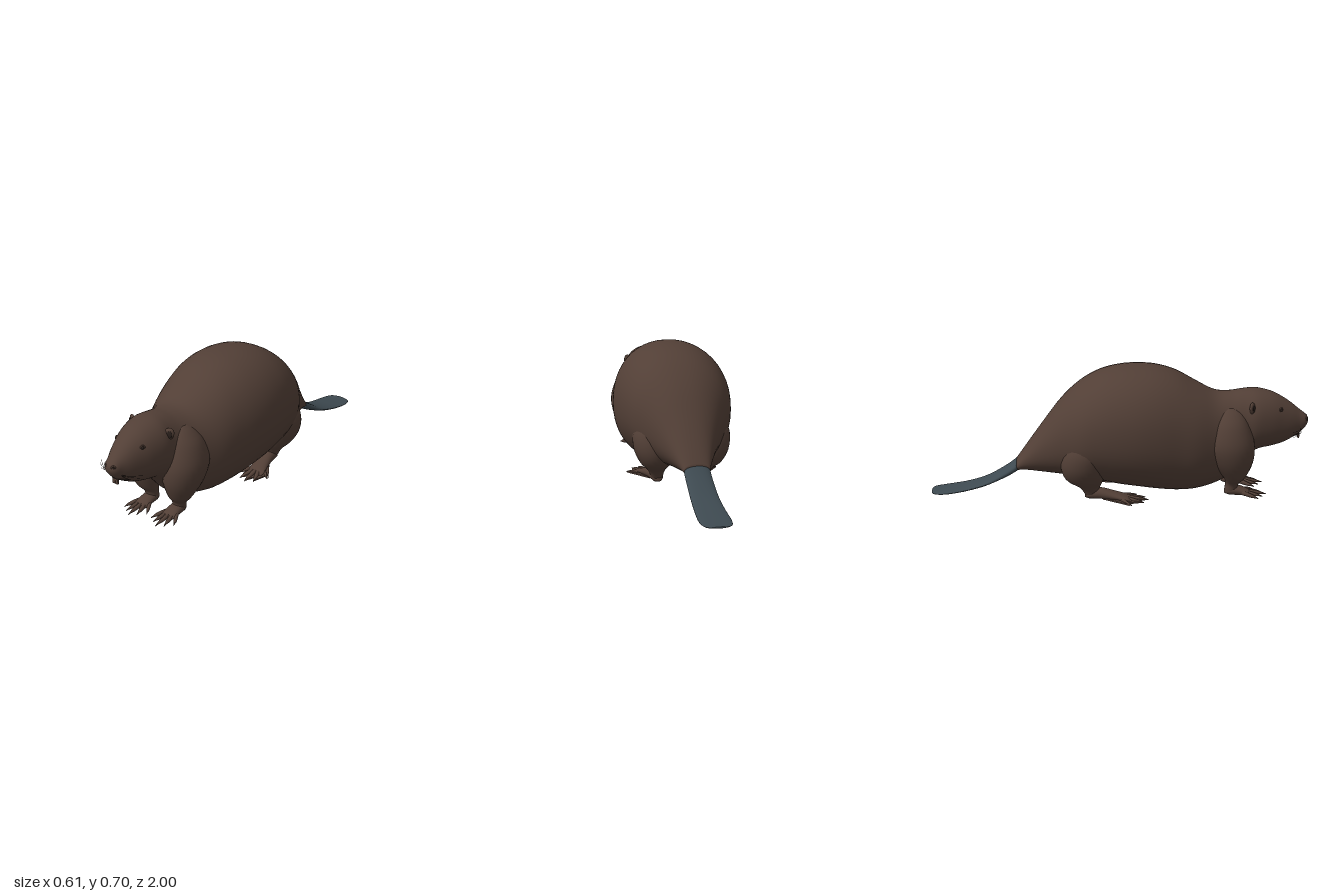
import * as THREE from 'three';

const mat = (name, color, side = THREE.FrontSide) => {
  const m = new THREE.MeshStandardMaterial({ color, side });
  m.name = name;
  return m;
};

// Smooth interpolation of cross-section rows, each an array of numbers
function resample(rows, steps) {
  const out = [];
  const at = i => rows[Math.min(rows.length - 1, Math.max(0, i))];
  for (let i = 0; i < rows.length - 1; i++) {
    for (let k = 0; k < steps; k++) {
      const t = k / steps;
      out.push(rows[i].map((b, c) => {
        const a = at(i - 1)[c], d = at(i + 1)[c], e = at(i + 2)[c];
        return b + 0.5 * t * (d - a + t * (2 * a - 5 * b + 4 * d - e + t * (3 * (b - d) + e - a)));
      }));
    }
  }
  out.push(rows[rows.length - 1]);
  return out;
}

// Closed oval loft. Axis z: rows [z, x, y, rx, ry] with z rising.
// Axis y: rows [y, x, z, rx, rz] with y falling.
function loft(rows, axis = 'z', sides = 24, steps = 4, power = 1) {
  const rings = resample(rows, steps), pos = [], idx = [];
  const bend = v => Math.sign(v) * Math.abs(v) ** power;
  const put = (t, u, v) => axis === 'z' ? pos.push(u, v, t) : pos.push(u, t, v);
  for (const [t, u, v, ru, rv] of rings) {
    for (let j = 0; j < sides; j++) {
      const a = j / sides * Math.PI * 2;
      put(t, u + Math.max(ru, 0.0005) * bend(Math.cos(a)), v + Math.max(rv, 0.0005) * bend(Math.sin(a)));
    }
  }
  const n = rings.length;
  for (let i = 0; i < n - 1; i++) {
    for (let j = 0; j < sides; j++) {
      const a = i * sides + j, b = i * sides + (j + 1) % sides;
      idx.push(a, b, a + sides, b, b + sides, a + sides);
    }
  }
  // End caps
  for (const [i, flip] of [[0, true], [n - 1, false]]) {
    const c = pos.length / 3, [t, u, v] = rings[i];
    put(t, u, v);
    for (let j = 0; j < sides; j++) {
      const a = i * sides + j, b = i * sides + (j + 1) % sides;
      idx.push(c, flip ? b : a, flip ? a : b);
    }
  }
  const g = new THREE.BufferGeometry();
  g.setAttribute('position', new THREE.Float32BufferAttribute(pos, 3));
  g.setIndex(idx);
  g.computeVertexNormals();
  return g;
}

export function createModel() {
  const fur = mat('brown fur', 0x523f36);
  const slate = mat('slate tail skin', 0x3e4a51);
  const dark = mat('dark brown', 0x2a201c);
  const model = new THREE.Group();
  model.name = 'beaver';
  const add = (name, geo, material = fur, parent = model) => {
    const m = new THREE.Mesh(geo, material);
    m.name = name;
    parent.add(m);
    return m;
  };

  // Body, neck and head: z, top, bottom, half width
  const trunk = [
    [-0.545, 0.185, 0.128, 0.066], [-0.5, 0.25, 0.13, 0.085], [-0.4, 0.39, 0.12, 0.135],
    [-0.3, 0.52, 0.11, 0.195], [-0.2, 0.61, 0.095, 0.255], [-0.1, 0.665, 0.08, 0.285],
    [0, 0.691, 0.06, 0.3], [0.1, 0.698, 0.045, 0.303], [0.2, 0.69, 0.03, 0.292],
    [0.3, 0.66, 0.02, 0.27], [0.4, 0.605, 0.025, 0.245], [0.5, 0.555, 0.05, 0.2],
    [0.58, 0.55, 0.09, 0.165], [0.65, 0.561, 0.165, 0.142], [0.72, 0.565, 0.232, 0.138],
    [0.8, 0.547, 0.252, 0.118], [0.86, 0.517, 0.268, 0.095], [0.91, 0.483, 0.292, 0.074],
    [0.95, 0.45, 0.317, 0.054], [0.98, 0.427, 0.347, 0.041], [0.995, 0.412, 0.37, 0.026],
    [1, 0.4, 0.385, 0.008],
  ];
  add('body', loft(trunk.map(([z, top, bot, w]) => [z, 0, (top + bot) / 2, w, (top - bot) / 2]), 'z', 48, 4, 0.93));

  // Flat paddle tail: z, x, y, half width, half thickness
  add('tail', loft([
    [-1, 0, 0.01, 0.03, 0.004], [-0.99, 0, 0.01, 0.056, 0.005], [-0.96, 0, 0.011, 0.073, 0.006],
    [-0.9, 0, 0.017, 0.08, 0.008], [-0.8, 0, 0.035, 0.076, 0.01], [-0.7, 0, 0.066, 0.071, 0.015],
    [-0.6, 0, 0.117, 0.068, 0.024], [-0.54, 0, 0.157, 0.067, 0.031],
  ], 'z', 24, 4, 0.9), slate);

  for (const s of [1, -1]) {
    const side = s > 0 ? 'left' : 'right';
    const limb = (name, rows) => add(name, loft(rows.map(([y, x, ...r]) => [y, s * x, ...r]), 'y', 28));

    // Shoulder running down into the front leg
    limb(side + 'FrontLeg', [
      [0.49, 0.1, 0.57, 0.02, 0.03], [0.46, 0.105, 0.57, 0.055, 0.07], [0.4, 0.115, 0.57, 0.092, 0.105],
      [0.3, 0.125, 0.575, 0.11, 0.13], [0.2, 0.118, 0.59, 0.1, 0.11], [0.11, 0.106, 0.605, 0.064, 0.058],
      [0.07, 0.093, 0.595, 0.04, 0.036], [0.03, 0.09, 0.59, 0.034, 0.034], [0.01, 0.09, 0.59, 0.02, 0.02],
    ]);

    // Thigh
    limb(side + 'HindLeg', [
      [0.42, 0.12, -0.18, 0.03, 0.04], [0.3, 0.14, -0.18, 0.105, 0.11], [0.2, 0.145, -0.19, 0.107, 0.12],
      [0.12, 0.138, -0.185, 0.08, 0.1], [0.07, 0.128, -0.16, 0.045, 0.055],
      [0.03, 0.123, -0.15, 0.03, 0.035], [0.008, 0.123, -0.15, 0.02, 0.022],
    ]);

    // Front paw with five fanned toes
    const paw = new THREE.Group();
    paw.name = side + 'FrontPaw';
    model.add(paw);
    const px = s * 0.09;
    add('palm', loft([
      [0.555, px, 0.025, 0.012, 0.01], [0.58, px, 0.034, 0.034, 0.028], [0.63, px, 0.029, 0.038, 0.026],
      [0.675, px, 0.019, 0.042, 0.016], [0.7, px, 0.012, 0.03, 0.006],
    ], 'z', 20), fur, paw);
    for (let i = -2; i <= 2; i++) {
      const tip = 0.78 - Math.abs(i) * 0.025 - (i === 2 ? 0.01 : 0);
      const x0 = px + i * 0.014, x1 = px + i * 0.035, z0 = 0.64;
      const at = k => [z0 + (tip - z0) * k, x0 + (x1 - x0) * k];
      add('toe', loft([
        [...at(0), 0.024, 0.009, 0.011], [...at(0.4), 0.018, 0.011, 0.012], [...at(0.7), 0.012, 0.009, 0.009],
        [...at(0.82), 0.01, 0.005, 0.006], [...at(1), 0.004, 0.001, 0.002],
      ], 'z', 10, 2), fur, paw);
    }

    // Webbed hind foot, turned outwards
    const foot = new THREE.Group();
    foot.name = side + 'HindFoot';
    model.add(foot);
    add('instep', loft([
      [-0.185, s * 0.12, 0.02, 0.012, 0.01], [-0.16, s * 0.122, 0.03, 0.03, 0.025],
      [-0.1, s * 0.13, 0.034, 0.036, 0.03], [-0.03, s * 0.142, 0.026, 0.042, 0.022],
      [0.03, s * 0.155, 0.018, 0.05, 0.013], [0.06, s * 0.16, 0.011, 0.045, 0.005],
    ], 'z', 20), fur, foot);
    // Web between the toes
    const web = new THREE.Shape();
    web.moveTo(0.11, 0.09);
    web.lineTo(0.15, 0.09);
    const tips = [0, 1, 2, 3, 4].map(i => [0.245 - i * 0.041, [0.06, 0.125, 0.15, 0.135, 0.09][i]]);
    tips.forEach(([x, z], i) => {
      if (i) web.lineTo(x + 0.02, -Math.min(z, tips[i - 1][1]) + 0.035);
      web.lineTo(x, -z + 0.012);
    });
    const webGeo = new THREE.ExtrudeGeometry(web, { depth: 0.008, bevelEnabled: false });
    webGeo.rotateX(-Math.PI / 2);
    const w = add('web', webGeo, fur, foot);
    w.position.y = 0.004;
    if (s < 0) {
      // Mirror the plate and keep its faces outward
      const p = webGeo.attributes.position;
      for (let i = 0; i < p.count; i += 3) {
        const v = [0, 2, 1].map(k => [-p.getX(i + k), p.getY(i + k), p.getZ(i + k)]);
        v.forEach((c, k) => p.setXYZ(i + k, ...c));
      }
      webGeo.computeVertexNormals();
    }
    for (const [x, z] of tips) {
      const at = k => [-0.03 + (z + 0.03) * k, s * (0.143 + (x - 0.143) * k)];
      add('toe', loft([
        [...at(0), 0.022, 0.012, 0.012], [...at(0.5), 0.015, 0.013, 0.011],
        [...at(0.82), 0.01, 0.009, 0.007], [...at(1), 0.006, 0.001, 0.002],
      ], 'z', 10, 2), fur, foot);
    }

    // Cupped ear
    const ear = new THREE.Group();
    ear.name = side + 'Ear';
    ear.position.set(s * 0.115, 0.488, 0.69);
    ear.rotation.set(0, s * 0.45, s * -0.5);
    model.add(ear);
    add('earShell', new THREE.SphereGeometry(1, 20, 14), fur, ear).scale.set(0.027, 0.036, 0.013);
    const hollow = add('earHollow', new THREE.SphereGeometry(1, 16, 10), dark, ear);
    hollow.scale.set(0.016, 0.023, 0.004);
    hollow.position.set(s * 0.003, 0.001, 0.0105);

    // Eye, brow lid and nostril
    add('eye', new THREE.SphereGeometry(0.009, 14, 10), dark).position.set(s * 0.083, 0.469, 0.845);
    const lid = add('eyelid', new THREE.TorusGeometry(0.01, 0.004, 8, 18));
    lid.position.set(s * 0.084, 0.469, 0.845);
    lid.rotation.y = s * 1.0;
    const nostril = add('nostril', new THREE.SphereGeometry(1, 12, 8), dark);
    nostril.position.set(s * 0.024, 0.401, 0.991);
    nostril.scale.set(0.008, 0.007, 0.005);
    const wing = add('nostrilRim', new THREE.TorusGeometry(0.009, 0.004, 8, 16));
    wing.position.set(s * 0.025, 0.401, 0.99);
    wing.rotation.y = s * 0.6;

    // Front tooth
    add('tooth', new THREE.BoxGeometry(0.016, 0.026, 0.008)).position.set(s * 0.009, 0.306, 0.952);

    // Whiskers
    for (const [x, y, z] of [[0.135, 0.359, 0.9], [0.128, 0.351, 0.92], [0.115, 0.327, 0.91], [0.1, 0.342, 0.945]]) {
      const path = new THREE.QuadraticBezierCurve3(
        new THREE.Vector3(s * 0.035, 0.353, 0.955),
        new THREE.Vector3(s * 0.08, (y + 0.36) / 2, 0.965),
        new THREE.Vector3(s * x, y, z));
      add('whisker', new THREE.TubeGeometry(path, 10, 0.0009, 4), dark);
    }
  }

  // Mouth line and lower lip
  const mouth = new THREE.CatmullRomCurve3([[-0.055, 0.316, 0.915], [-0.03, 0.32, 0.945], [0, 0.321, 0.954],
    [0.03, 0.32, 0.945], [0.055, 0.316, 0.915]].map(p => new THREE.Vector3(...p)));
  add('mouth', new THREE.TubeGeometry(mouth, 20, 0.003, 6), dark);
  return model;
}
